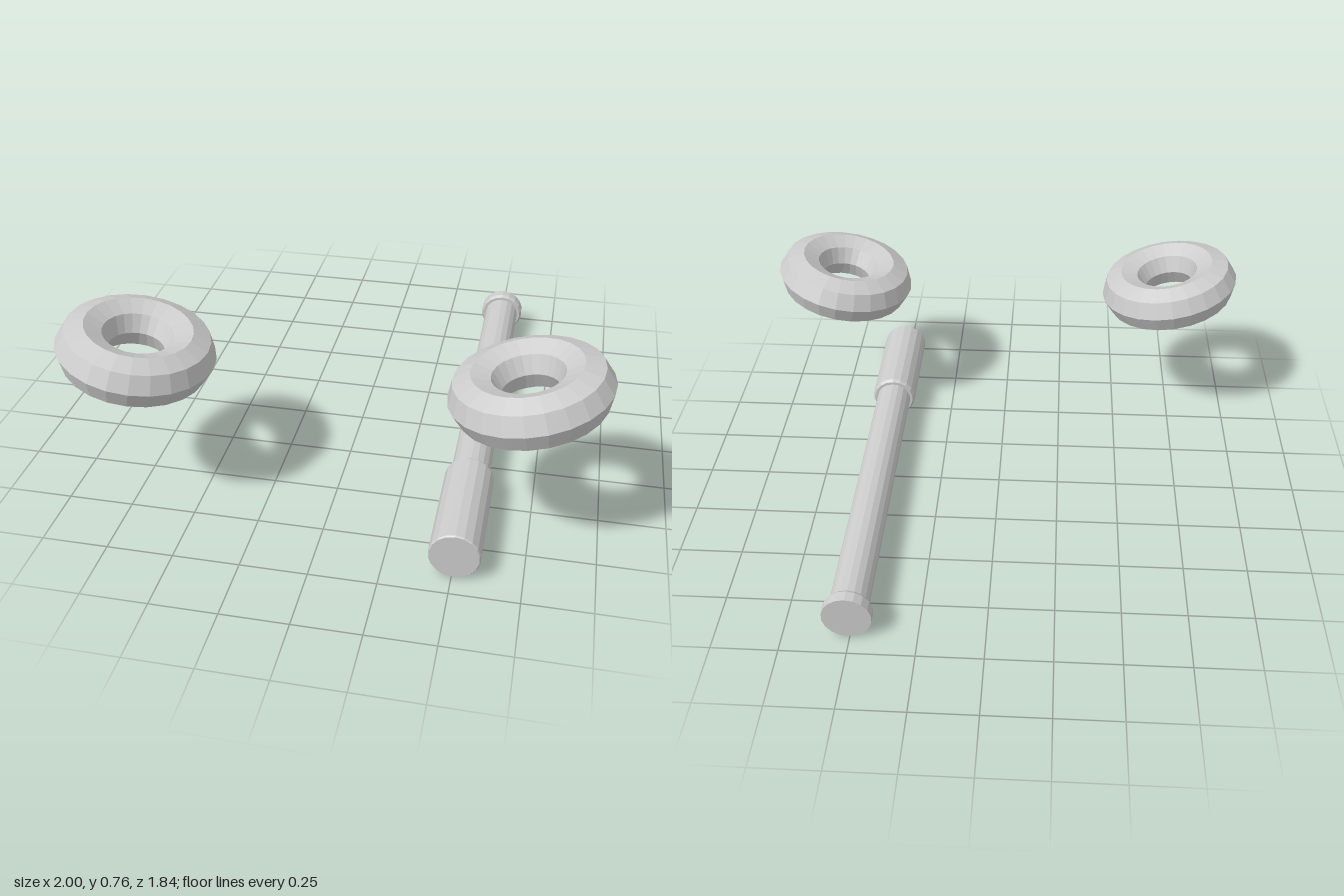
import * as THREE from 'three';

export function createModel() {
  const group = new THREE.Group();
  const material = new THREE.MeshStandardMaterial({ color: 0xcccccc, flatShading: true });

  // Solid of revolution lying along z; profile is [radius, z] from back to front
  function turned(name, profile) {
    const points = profile.map(([r, z]) => new THREE.Vector2(r, z));
    const mesh = new THREE.Mesh(new THREE.LatheGeometry(points, 18), material);
    mesh.name = name;
    mesh.rotation.x = Math.PI / 2;
    return mesh;
  }

  // Rod with a thicker grip in front and a flat end cap behind
  const baton = new THREE.Group();
  baton.name = 'baton';
  baton.position.set(0.507, 0.094, 0);
  baton.add(
    turned('endCap', [[0, -0.918], [0.093, -0.918], [0.094, -0.875], [0.086, -0.862], [0, -0.862]]),
    turned('shaft', [[0.074, -0.87], [0.074, 0.46]]),
    turned('grip', [[0, 0.447], [0.086, 0.447], [0.094, 0.46], [0.094, 0.912], [0.09, 0.918], [0, 0.918]])
  );
  group.add(baton);

  // Mirrored pair of rings, each tilted up towards the outside
  const ringGeometry = new THREE.TorusGeometry(0.197, 0.095, 8, 24);
  ringGeometry.rotateX(Math.PI / 2);
  for (const side of [-1, 1]) {
    const ring = new THREE.Mesh(ringGeometry, material);
    ring.name = side > 0 ? 'leftRing' : 'rightRing';
    ring.position.set(side * 0.713, 0.627, 0.627);
    ring.rotation.z = side * 0.2;
    group.add(ring);
  }

  return group;
}
